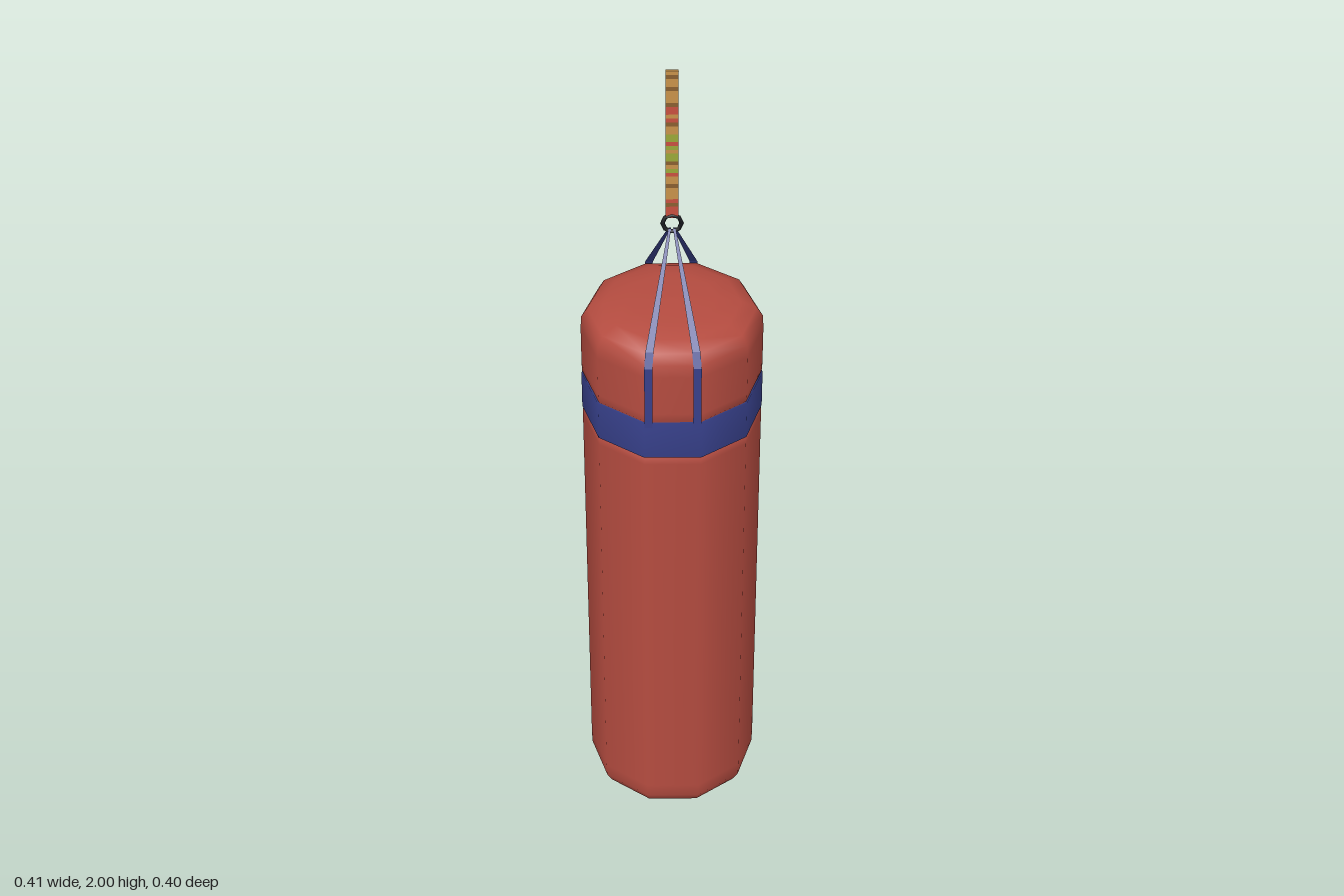
import * as THREE from 'three';

const mat = (name, color, double) => {
  const m = new THREE.MeshStandardMaterial({ color });
  m.name = name;
  if (double) m.side = THREE.DoubleSide;
  return m;
};

export function createModel() {
  const red = mat('red leather', 0xb54c40);
  const blue = mat('blue webbing', 0x37408a, true);
  const black = mat('black metal', 0x16181d);
  const rope = {
    t: mat('tan rope', 0xc8924a),
    r: mat('rope red', 0xc8503f),
    g: mat('rope green', 0x9aa838),
    b: mat('rope brown', 0x8a5f30),
  };
  const group = new THREE.Group();
  const add = (name, geometry, material, parent = group) => {
    const mesh = new THREE.Mesh(geometry, material);
    mesh.name = name;
    parent.add(mesh);
    return mesh;
  };

  // Ten-sided bodies of revolution with a corner on the x axis
  const lathe = (points) => new THREE.LatheGeometry(
    points.map(([r, y]) => new THREE.Vector2(r, y)), 10, Math.PI / 2);

  // Bag with rounded ends, pinched a little under the band
  add('bag', lathe([
    [0, 0], [0.1, 0.002], [0.155, 0.012], [0.192, 0.03], [0.205, 0.055], [0.206, 0.09],
    [0.206, 1.11], [0.205, 1.125], [0.198, 1.135], [0.198, 1.22], [0.205, 1.23],
    [0.206, 1.25], [0.206, 1.35], [0.204, 1.38], [0.19, 1.403], [0.155, 1.418],
    [0.1, 1.428], [0, 1.43],
  ]), red);
  add('band', lathe([[0.198, 1.13], [0.207, 1.13], [0.207, 1.225], [0.198, 1.225]]).toNonIndexed(), blue);

  // Tapered ribbons from the ring over the shoulder down to the band
  const rows = [ // inner x, outer x, y, z
    [0.002, 0.008, 1.612, 0.002],
    [0.042, 0.060, 1.408, 0.181],
    [0.045, 0.063, 1.375, 0.199],
    [0.045, 0.063, 1.215, 0.199],
  ];
  const straps = new THREE.Group();
  straps.name = 'straps';
  group.add(straps);
  for (const sx of [-1, 1]) for (const sz of [-1, 1]) {
    const pos = [];
    for (let i = 0; i < rows.length - 1; i++) {
      const [a, b] = [rows[i], rows[i + 1]];
      const corner = (row, k) => [sx * row[k], row[2], sz * row[3]];
      const quad = [corner(a, 0), corner(b, 0), corner(b, 1), corner(a, 1)];
      if (sx * sz < 0) quad.reverse();
      for (const k of [0, 1, 2, 0, 2, 3]) pos.push(...quad[k]);
    }
    const g = new THREE.BufferGeometry();
    g.setAttribute('position', new THREE.Float32BufferAttribute(pos, 3));
    g.computeVertexNormals();
    add('strap', g, blue, straps);
  }

  // Ring that gathers the straps
  add('ring', new THREE.TorusGeometry(0.021, 0.005, 6, 8), black).position.y = 1.625;

  // Flat woven rope made of coloured segments, listed from bottom to top
  const pattern = 'rrrbrtttbttrgtbggtgrggttbrtrrbtttbttbt';
  const hanger = new THREE.Group();
  hanger.name = 'hangingRope';
  group.add(hanger);
  const bottom = 1.64, step = (2 - bottom) / pattern.length;
  [...pattern].forEach((key, i) => {
    add('ropeSegment', new THREE.BoxGeometry(0.028, step, 0.006), rope[key], hanger)
      .position.y = bottom + (i + 0.5) * step;
  });
  return group;
}
